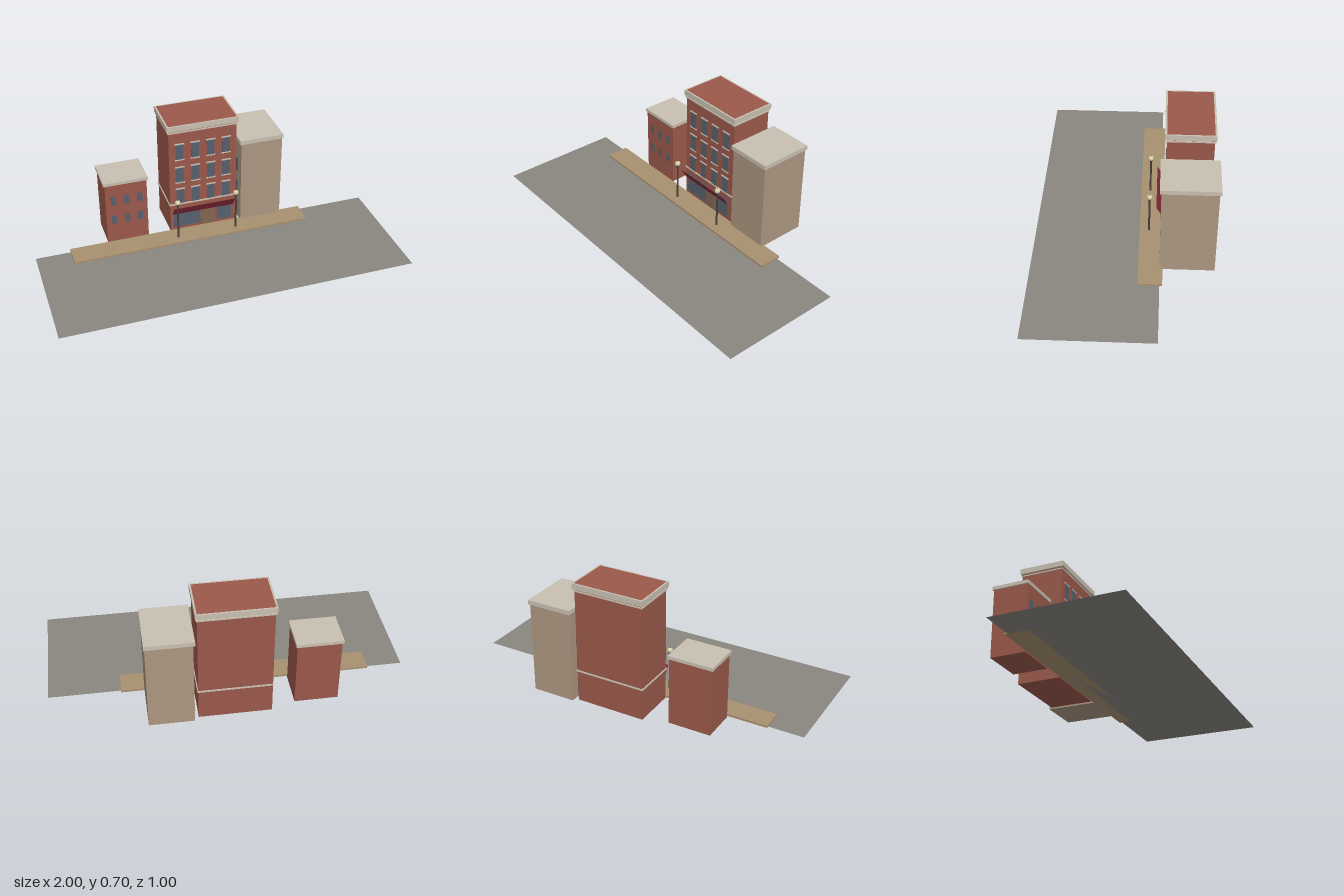
import * as THREE from 'three';

const mat = (color, side = THREE.FrontSide) => new THREE.MeshStandardMaterial({ color, side });

export function createModel() {
  const model = new THREE.Group();
  const brick = mat(0x9a584a), stone = mat(0xc8bfb0), tan = mat(0xab9680);
  const glass = mat(0x56606c), paving = mat(0xa89070), iron = mat(0x4a403c);
  const wood = mat(0x806650), cream = mat(0xd8cfa8);
  const road = mat(0x8a8680, THREE.DoubleSide), canvas = mat(0x86283a, THREE.DoubleSide);

  const add = (parent, name, geo, material, x, y, z) => {
    const m = new THREE.Mesh(geo, material);
    m.name = name;
    m.position.set(x, y, z);
    parent.add(m);
    return m;
  };
  // Box given by its min and max on each axis
  const box = (parent, name, material, x0, x1, y0, y1, z0, z1) =>
    add(parent, name, new THREE.BoxGeometry(x1 - x0, y1 - y0, z1 - z0), material,
      (x0 + x1) / 2, (y0 + y1) / 2, (z0 + z1) / 2);
  const group = (name) => {
    const g = new THREE.Group();
    g.name = name;
    model.add(g);
    return g;
  };

  // Street and sidewalk
  add(model, 'street', new THREE.PlaneGeometry(2, 0.7).rotateX(-Math.PI / 2), road, 0, 0, 0.15);
  box(model, 'sidewalk', paving, -0.8, 0.6, 0, 0.012, -0.215, -0.083);

  // Main building with a red roof inside the cornice
  const main = group('mainBuilding');
  box(main, 'walls', brick, -0.2, 0.2, 0, 0.701, -0.47, -0.22);
  box(main, 'cornice', stone, -0.21, 0.21, 0.668, 0.7, -0.48, -0.21);
  box(main, 'upperBand', stone, -0.205, 0.205, 0.653, 0.66, -0.475, -0.215);
  box(main, 'lowerBand', stone, -0.205, 0.205, 0.179, 0.187, -0.475, -0.215);
  for (const y of [0.235, 0.38, 0.53]) {
    for (const x of [-0.138, -0.046, 0.046, 0.138]) {
      box(main, 'window', glass, x - 0.023, x + 0.023, y - 0.048, y + 0.048, -0.222, -0.218);
      box(main, 'lintel', stone, x - 0.028, x + 0.028, y + 0.048, y + 0.055, -0.222, -0.215);
      box(main, 'sill', stone, x - 0.028, x + 0.028, y - 0.054, y - 0.048, -0.222, -0.215);
    }
  }

  // Shop front
  box(main, 'shopWindowRight', glass, -0.18, -0.02, 0.025, 0.14, -0.222, -0.217);
  box(main, 'shopWindowLeft', glass, 0.08, 0.17, 0.025, 0.14, -0.222, -0.217);
  box(main, 'door', wood, -0.012, 0.062, 0.005, 0.125, -0.222, -0.215);
  const awning = add(main, 'awning', new THREE.PlaneGeometry(0.37, 0.07), canvas, -0.005, 0.151, -0.191);
  awning.rotation.x = 0.53;

  // Low brick building
  const low = group('lowBuilding');
  box(low, 'walls', brick, -0.575, -0.333, 0, 0.401, -0.425, -0.225);
  box(low, 'cornice', stone, -0.583, -0.326, 0.384, 0.403, -0.431, -0.219);
  for (const y of [0.152, 0.278])
    for (const x of [-0.529, -0.453, -0.377])
      box(low, 'window', glass, x - 0.015, x + 0.015, y - 0.028, y + 0.028, -0.227, -0.223);

  // Plain tan building, windows on its inner side
  const plain = group('plainBuilding');
  box(plain, 'walls', tan, 0.223, 0.471, 0, 0.548, -0.495, -0.198);
  box(plain, 'cornice', stone, 0.214, 0.476, 0.525, 0.55, -0.505, -0.19);
  for (const y of [0.07, 0.21, 0.358])
    for (const z of [-0.42, -0.346, -0.27])
      box(plain, 'window', glass, 0.219, 0.225, y - 0.042, y + 0.042, z - 0.02, z + 0.02);

  // Street lamps
  for (const x of [-0.179, 0.171]) {
    const lamp = group('streetLamp');
    lamp.position.set(x, 0, -0.135);
    add(lamp, 'pole', new THREE.CylinderGeometry(0.005, 0.006, 0.22, 8), iron, 0, 0.12, 0);
    add(lamp, 'collar', new THREE.CylinderGeometry(0.01, 0.007, 0.008, 8), iron, 0, 0.23, 0);
    add(lamp, 'globe', new THREE.SphereGeometry(0.016, 16, 12), cream, 0, 0.25, 0);
    add(lamp, 'finial', new THREE.ConeGeometry(0.004, 0.012, 8), iron, 0, 0.268, 0);
  }
  return model;
}
